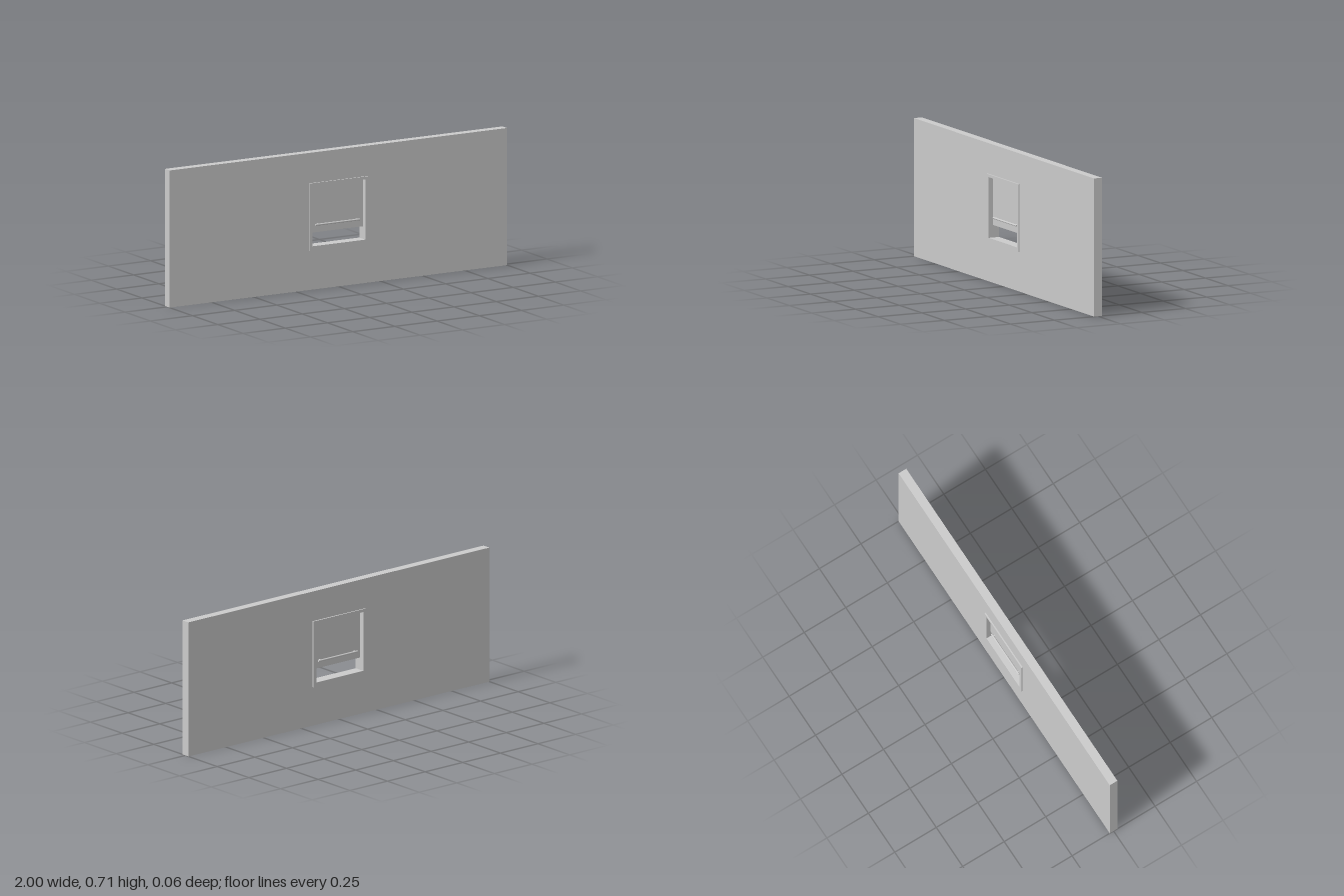
import * as THREE from 'three';

const W = 2, H = 0.713, T = 0.046;          // wall
const FRAME = { x: 0.175, y0: 0.205, y1: 0.555, depth: 0.06 };
const OPEN = { x: 0.156, y0: 0.227, y1: 0.54 };
const BAR_Y = 0.333, BAR_Z = 0.016, PANEL_T = 0.01;

function trace(path, x, y0, y1) {
  path.moveTo(-x, y0);
  path.lineTo(x, y0);
  path.lineTo(x, y1);
  path.lineTo(-x, y1);
  path.closePath();
  return path;
}

// Upright slab with a rectangular hole, centred on z = 0
function holedSlab(outer, hole, depth) {
  const shape = trace(new THREE.Shape(), outer.x, outer.y0, outer.y1);
  shape.holes.push(trace(new THREE.Path(), hole.x, hole.y0, hole.y1));
  return new THREE.ExtrudeGeometry(shape, { depth, bevelEnabled: false }).translate(0, 0, -depth / 2);
}

export function createModel() {
  const group = new THREE.Group();
  const material = new THREE.MeshStandardMaterial({ color: 0xcccccc });
  const add = (name, geometry, parent = group) => {
    const mesh = new THREE.Mesh(geometry, material);
    mesh.name = name;
    parent.add(mesh);
    return mesh;
  };

  // Wall and the window frame that lines its opening
  add('wall', holedSlab({ x: W / 2, y0: 0, y1: H }, FRAME, T));
  add('windowFrame', holedSlab(FRAME, OPEN, FRAME.depth));

  // Sliding panel, raised a little above the sill
  const y0 = 0.292;
  add('slidingPanel', new THREE.BoxGeometry(OPEN.x * 2, OPEN.y1 - y0, PANEL_T))
    .position.y = (OPEN.y1 + y0) / 2;

  // A pull bar on two posts, on each face of the panel
  for (const side of [1, -1]) {
    const handle = new THREE.Group();
    handle.name = side > 0 ? 'frontHandle' : 'backHandle';
    add('pullBar', new THREE.CylinderGeometry(0.005, 0.005, 0.26, 16).rotateZ(Math.PI / 2), handle)
      .position.set(0, BAR_Y, side * BAR_Z);
    for (const x of [-0.115, 0.115]) {
      const length = BAR_Z - PANEL_T / 2;
      add('handlePost', new THREE.CylinderGeometry(0.005, 0.005, length, 16).rotateX(Math.PI / 2), handle)
        .position.set(x, BAR_Y, side * (PANEL_T / 2 + length / 2));
    }
    group.add(handle);
  }
  return group;
}
